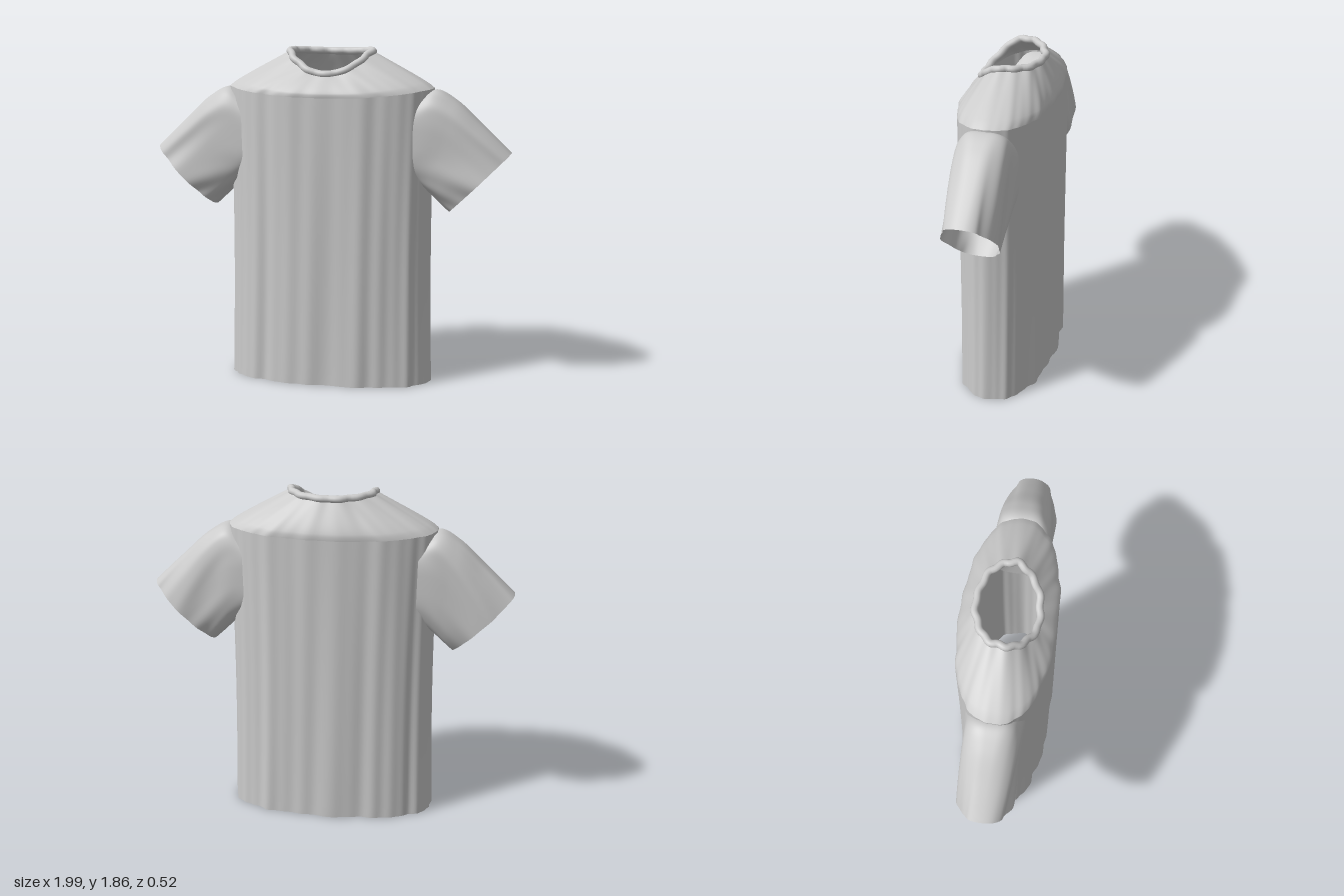
import * as THREE from 'three';

const { sin, cos, abs, sign, pow, PI } = Math;
const mix = THREE.MathUtils.lerp;
const cloth = new THREE.MeshStandardMaterial({ color: 0xcccccc, side: THREE.DoubleSide });

// Rounded-box style power, keeps the sign
const spow = (v, n) => sign(v) * pow(abs(v), 2 / n);

// Smooth open skin around a closed loop: point(a, t) with a = angle, t = 0..1 along
function skin(name, around, along, point) {
  const pos = [], idx = [];
  for (let j = 0; j <= along; j++)
    for (let i = 0; i < around; i++) pos.push(...point((i / around) * PI * 2, j / along));
  for (let j = 0; j < along; j++)
    for (let i = 0; i < around; i++) {
      const k = (i + 1) % around;
      const a = j * around + i, b = j * around + k, c = a + around, d = b + around;
      idx.push(a, c, b, b, c, d);
    }
  const g = new THREE.BufferGeometry();
  g.setAttribute('position', new THREE.Float32BufferAttribute(pos, 3));
  g.setIndex(idx);
  g.computeVertexNormals();
  const mesh = new THREE.Mesh(g, cloth);
  mesh.name = name;
  return mesh;
}

// Hanging folds, running down the cloth
const folds = (a, y) =>
  0.006 * sin(11 * a + 0.5 * sin(2 * y)) + 0.004 * sin(19 * a + 1.3 + 0.8 * y) + 0.003 * sin(31 * a + y);

// Torso outline at height y
function torso(a, y) {
  const waist = 0.571 - 0.012 * sin(PI * Math.min(y / 1.6, 1));
  const f = folds(a, y) * mix(1.15, 0.6, Math.min(y / 1.6, 1));
  return [spow(cos(a), 2.3) * waist + cos(a) * f * 0.5, y, spow(sin(a), 2.3) * 0.25 + sin(a) * f];
}

// Neck opening: low at the front, high at the sides and back
function neckline(a) {
  const s = sin(a), r = 1 + 0.025 * sin(13 * a) + 0.012 * sin(7 * a + 1);
  const y = s > 0 ? 1.842 - 0.12 * pow(s, 1.8) : 1.842 - 0.012 * s * s;
  return [0.228 * cos(a) * r, y, 0.162 * s * r];
}

// Height where the torso turns over into the shoulders
const shoulderHeight = (a) => 1.6 + 0.045 * cos(a) ** 2 + (sin(a) < 0 ? 0.025 * sin(a) ** 2 : 0);

function sleeve(side) {
  // Upper and lower edge in the front plane, from armhole to cuff
  const curve = (pts) => new THREE.CatmullRomCurve3(pts.map(([x, y]) => new THREE.Vector3(x, y, 0)));
  const top = curve([[0.48, 1.585], [0.58, 1.637], [0.69, 1.585], [0.84, 1.45], [0.997, 1.3]]);
  const low = curve([[0.47, 1.16], [0.53, 1.1], [0.575, 1.055], [0.62, 1.01], [0.663, 0.97]]);
  return skin(side > 0 ? 'leftSleeve' : 'rightSleeve', 96, 32, (a, t) => {
    const p = top.getPoint(t), q = low.getPoint(t);
    const n = mix(3.6, 2.2, t);
    const twist = a + 0.5 * t;
    const f = 1 + t * (0.03 * sin(7 * twist) + 0.02 * sin(12 * twist + side));
    // Folds fade at the upper and lower edges so the silhouette stays clean
    const k = 0.5 + 0.5 * spow(cos(a), n);
    return [
      side * mix(q.x, p.x, k),
      mix(q.y, p.y, k),
      spow(sin(a), n) * mix(0.158, 0.145, t) * f + 0.006 * t * sin(5 * a + 6 * t),
    ];
  });
}

export function createModel() {
  const shirt = new THREE.Group();
  shirt.name = 'shirt';

  // Torso, open at the hem
  shirt.add(skin('body', 192, 24, (a, t) => torso(a, t * shoulderHeight(a))));

  // Shoulders, sloping in to the neck opening
  shirt.add(skin('shoulders', 192, 14, (a, t) => {
    const b = torso(a, shoulderHeight(a)), n = neckline(a);
    const bulge = 0.012 * sin(PI * pow(t, 0.5));
    return [mix(b[0], n[0], t), mix(b[1], n[1], t) + bulge * 0.7, mix(b[2], n[2], t) + bulge * sin(a)];
  }));

  // Sleeves
  shirt.add(sleeve(1), sleeve(-1));

  // Collar roll
  const loop = Array.from({ length: 72 }, (_, i) => new THREE.Vector3(...neckline((i / 72) * PI * 2)));
  const collar = new THREE.Mesh(
    new THREE.TubeGeometry(new THREE.CatmullRomCurve3(loop, true), 180, 0.02, 12, true), cloth);
  collar.name = 'collar';
  shirt.add(collar);

  return shirt;
}
